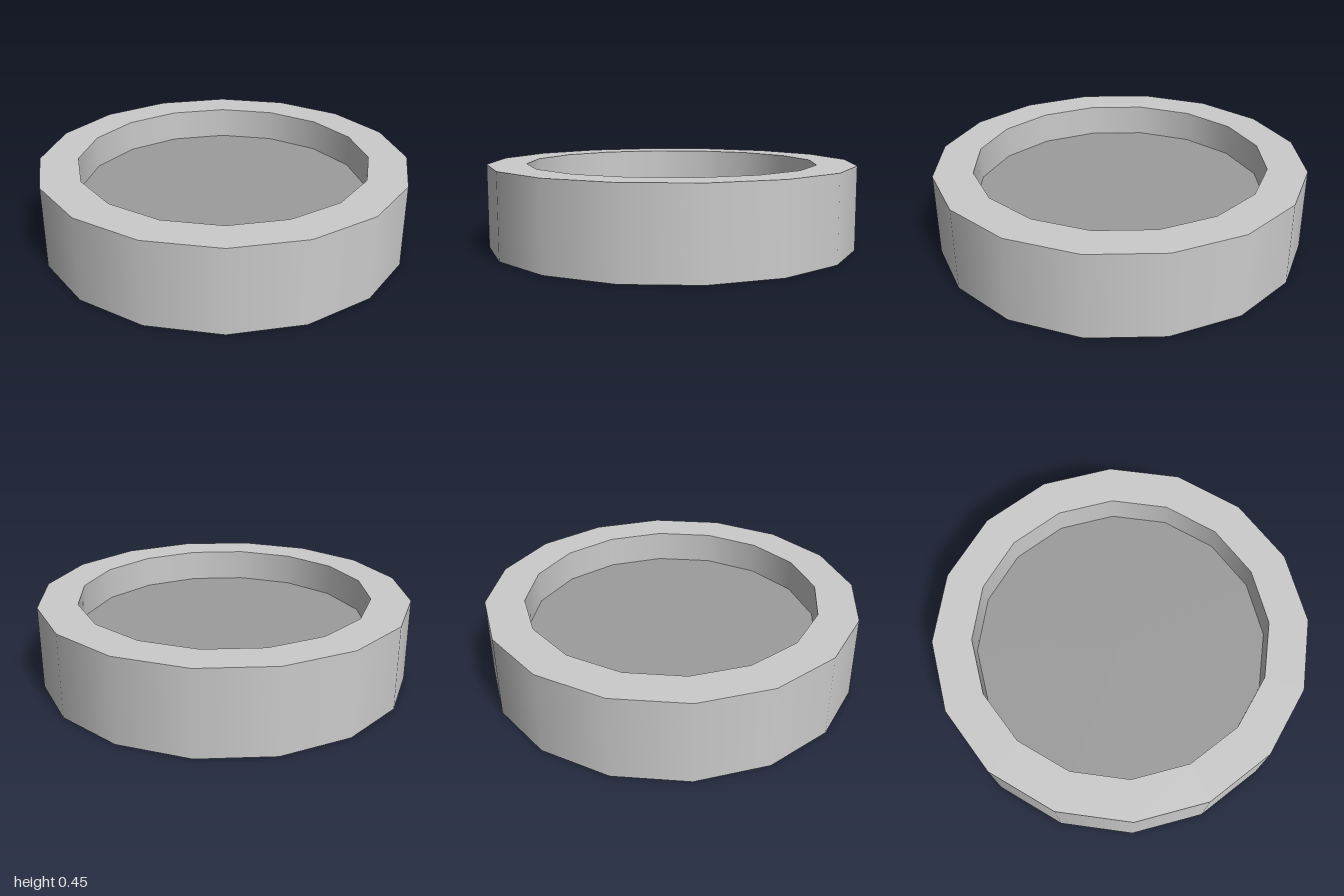
import * as THREE from 'three';

const SIDES = 16;
const HEIGHT = 0.45;
const OUTER = 1;
const INNER = 0.79;
const FLOOR_Y = 0.275;

export function createModel() {
  const group = new THREE.Group();
  const grey = new THREE.MeshStandardMaterial({ color: 0xcccccc, side: THREE.DoubleSide });
  const darkGrey = new THREE.MeshStandardMaterial({ color: 0x9c9c9c, side: THREE.DoubleSide });

  const add = (name, geometry, material, y) => {
    const mesh = new THREE.Mesh(geometry, material);
    mesh.name = name;
    mesh.position.y = y;
    group.add(mesh);
  };

  // Smooth outer wall, open underneath
  add('outerWall', new THREE.CylinderGeometry(OUTER, OUTER, HEIGHT, SIDES, 1, true), grey, HEIGHT / 2);

  // Flat ring on top
  add('rim', new THREE.RingGeometry(INNER, OUTER, SIDES).rotateX(-Math.PI / 2), grey, HEIGHT);

  // Inner wall from the rim down to the recessed floor, turned to face the axis
  const depth = HEIGHT - FLOOR_Y;
  const inner = new THREE.CylinderGeometry(INNER, INNER, depth, SIDES, 1, true);
  inner.scale(-1, 1, 1);
  const normals = inner.attributes.normal;
  for (let i = 0; i < normals.count; i++) {
    normals.setXYZ(i, -inner.attributes.position.getX(i) / INNER, 0, -inner.attributes.position.getZ(i) / INNER);
  }
  add('innerWall', inner, grey, FLOOR_Y + depth / 2);

  // Darker recessed floor
  add('floor', new THREE.CircleGeometry(INNER, SIDES).rotateX(-Math.PI / 2), darkGrey, FLOOR_Y);

  return group;
}
